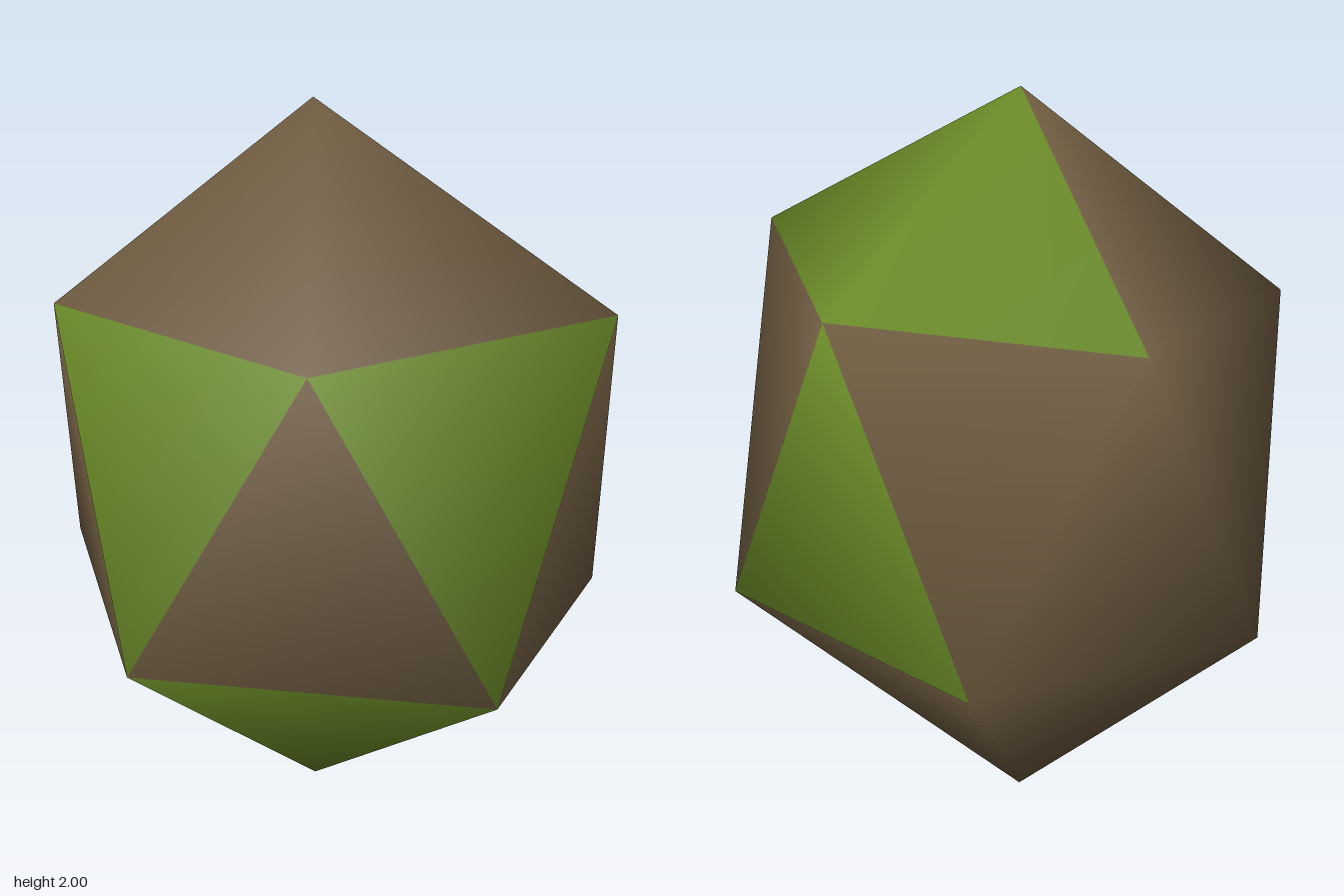
import * as THREE from 'three';

export function createModel() {
  const brown = new THREE.MeshStandardMaterial({ color: 0x735f43 });
  brown.name = 'brown';
  const green = new THREE.MeshStandardMaterial({ color: 0x6e9029 });
  green.name = 'green';

  // Poles, then the upper and lower rings of five corners each
  const corners = [
    [-0.05, 2, 0], [-0.05, 0, 0],
    [0.78, 1.53, 0], [0.175, 1.475, 0.56], [-0.64, 1.47, 0.34], [-0.64, 1.47, -0.34], [0.175, 1.475, -0.56],
    [0.63, 0.575, 0.4], [-0.31, 0.58, 0.63], [-0.785, 0.64, 0], [-0.31, 0.58, -0.63], [0.63, 0.575, -0.4],
  ];
  const top = 0, bottom = 1;
  const upper = (i) => 2 + (i % 5);
  const lower = (i) => 7 + (i % 5);

  // Four bands of five triangles; the digits pick brown (0) or green (1)
  const bands = [
    { colours: '00011', face: (i) => [top, upper(i + 1), upper(i)] },
    { colours: '11000', face: (i) => [upper(i), upper(i + 1), lower(i)] },
    { colours: '00010', face: (i) => [upper(i + 1), lower(i + 1), lower(i)] },
    { colours: '11001', face: (i) => [bottom, lower(i), lower(i + 1)] },
  ];

  const geometry = new THREE.BufferGeometry();
  geometry.setAttribute('position', new THREE.Float32BufferAttribute(corners.flat(), 3));
  const index = [];
  for (const { colours, face } of bands) {
    for (let i = 0; i < 5; i++) {
      geometry.addGroup(index.length, 3, Number(colours[i]));
      index.push(...face(i));
    }
  }
  geometry.setIndex(index);
  geometry.computeVertexNormals(); // shared corners give smooth shading

  const body = new THREE.Mesh(geometry, [brown, green]);
  body.name = 'facetedBody';
  const group = new THREE.Group();
  group.name = 'twoTonePolyhedron';
  group.add(body);
  return group;
}
